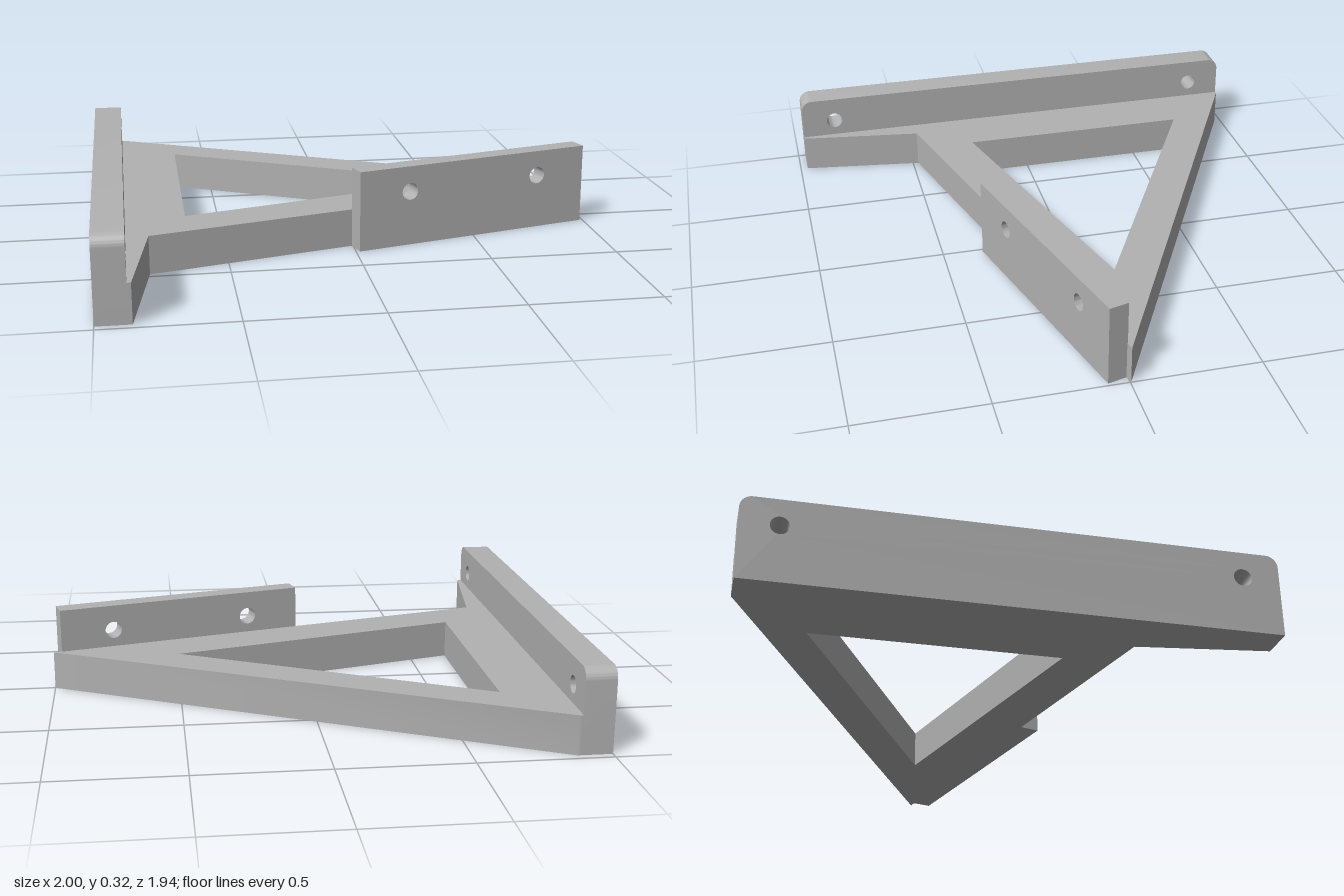
import * as THREE from 'three';
import { toCreasedNormals } from 'three/addons/utils/BufferGeometryUtils.js';

const BASE_H = 0.15, WALL_H = 0.32;

export function createModel() {
  const group = new THREE.Group();
  const grey = new THREE.MeshStandardMaterial({ color: 0xb2b2b2 });
  grey.name = 'plainGrey';

  const extrude = (shape, depth) => toCreasedNormals(
    new THREE.ExtrudeGeometry(shape, { depth, bevelEnabled: false, curveSegments: 16 }), 0.6);

  const add = (name, geometry) => {
    const mesh = new THREE.Mesh(geometry, grey);
    mesh.name = name;
    group.add(mesh);
    return mesh;
  };

  // Upright plate with two round screw holes and optionally rounded top corners
  const plateShape = (x0, x1, r, holes) => {
    const s = new THREE.Shape();
    s.moveTo(x0, 0);
    s.lineTo(x1, 0);
    s.lineTo(x1, WALL_H - r);
    if (r) s.absarc(x1 - r, WALL_H - r, r, 0, Math.PI / 2, false);
    s.lineTo(x0 + r, WALL_H);
    if (r) s.absarc(x0 + r, WALL_H - r, r, Math.PI / 2, Math.PI, false);
    s.lineTo(x0, 0);
    for (const x of holes) {
      s.holes.push(new THREE.Path().absarc(x, 0.218, 0.034, 0, Math.PI * 2, true));
    }
    return s;
  };

  // Flat triangular frame, outlined in plan as x, z
  const plan = (pts) => pts.map(([x, z]) => new THREE.Vector2(x, -z));
  const frame = new THREE.Shape(plan([
    [-0.885, 0.97], [-0.87, 0.97], [-0.8, 0.477], [1, -0.003], [-0.87, -0.97], [-0.885, -0.97],
  ]));
  frame.holes.push(new THREE.Path(plan([[-0.655, -0.69], [0.5, -0.08], [-0.655, 0.25]])));
  add('triangularFrame', extrude(frame, BASE_H).rotateX(-Math.PI / 2));

  // Long mounting plate along the left edge of the plan
  const longPlate = add('longMountingPlate', extrude(plateShape(-0.97, 0.97, 0.045, [-0.83, 0.83]), 0.115));
  longPlate.rotation.y = Math.PI / 2;
  longPlate.position.x = -1;

  // Short mounting plate lying against the slanted arm
  const shortPlate = add('shortMountingPlate', extrude(plateShape(0, 1.007, 0, [0.216, 0.791]), 0.078));
  shortPlate.rotation.y = THREE.MathUtils.degToRad(15);
  shortPlate.position.set(-0.005, 0, 0.264);

  return group;
}
